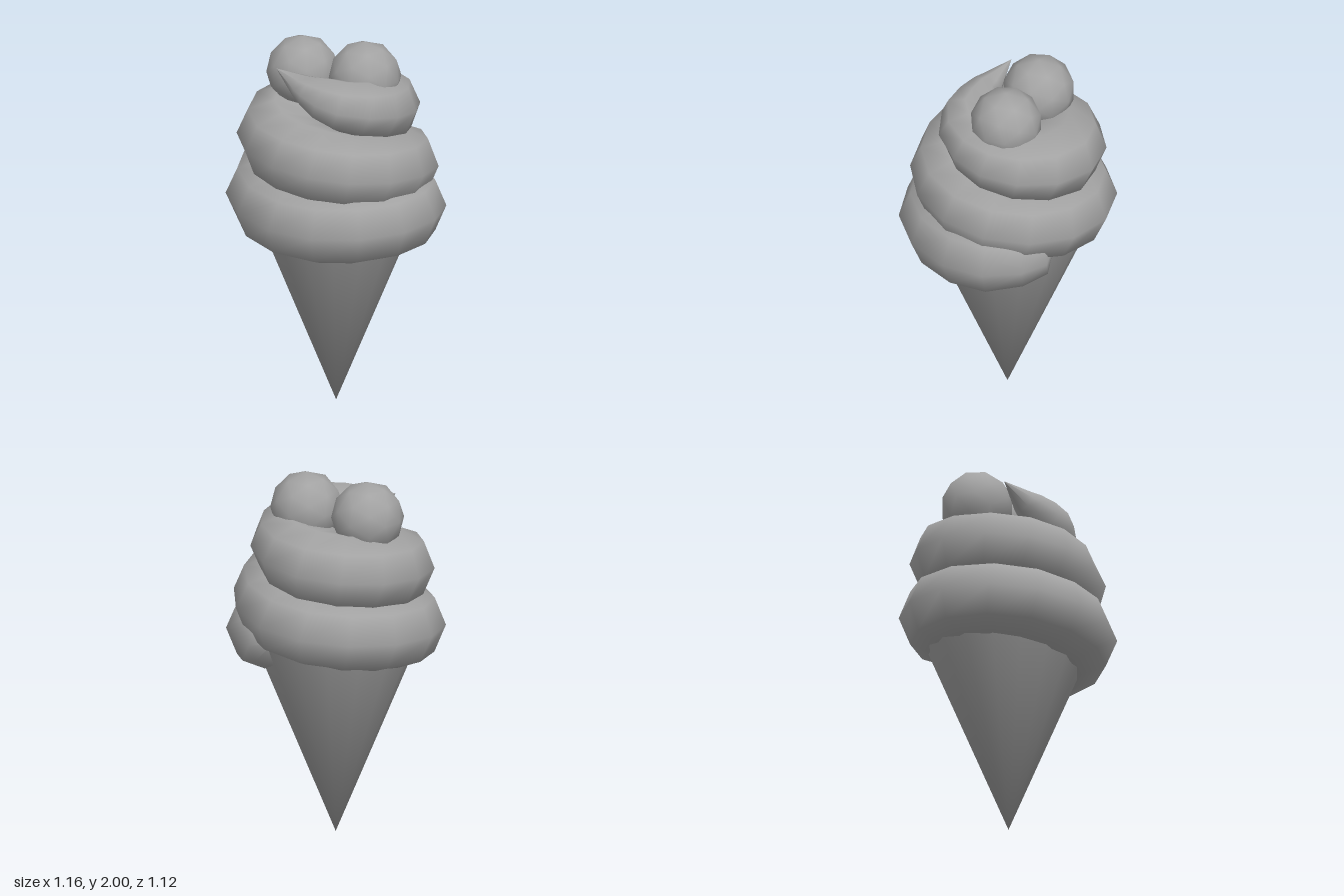
import * as THREE from 'three';
import { mergeVertices } from 'three/addons/utils/BufferGeometryUtils.js';

const material = new THREE.MeshStandardMaterial({ color: 0xa3a3a3 });

// Swirl keys: angle in degrees, distance from the axis, height, thickness
const SWIRL = [
  [-68, 0.43, 1.13, 0.01], [-62, 0.41, 1.12, 0.12], [-45, 0.39, 1.11, 0.165], [-22, 0.38, 1.105, 0.2],
  [0, 0.375, 1.105, 0.205], [90, 0.36, 1.105, 0.205], [180, 0.38, 1.18, 0.205],
  [270, 0.365, 1.25, 0.205], [360, 0.33, 1.35, 0.2], [450, 0.3, 1.43, 0.2],
  [540, 0.33, 1.5, 0.2], [630, 0.315, 1.58, 0.2], [720, 0.245, 1.66, 0.162],
  [765, 0.225, 1.715, 0.148], [810, 0.185, 1.76, 0.118], [844, 0.22, 1.805, 0.067],
  [869, 0.314, 1.87, 0.001],
];

function swirlAt(deg) {
  let i = 0;
  while (i < SWIRL.length - 2 && deg > SWIRL[i + 1][0]) i++;
  const a = SWIRL[i], b = SWIRL[i + 1];
  const t = (deg - a[0]) / (b[0] - a[0]);
  const [, dist, y, radius] = a.map((v, k) => THREE.MathUtils.lerp(v, b[k], t));
  const rad = THREE.MathUtils.degToRad(deg);
  return { point: new THREE.Vector3(Math.cos(rad) * dist, y, Math.sin(rad) * dist), radius };
}

// Tapered tube that follows the swirl; its thick part reaches in to the axis
function swirlGeometry(sides) {
  const angles = [-68, -62, -45, -22];
  for (let i = 0; i <= 32; i++) angles.push(i * 26);
  angles.push(844, 869);
  const rings = angles.map(swirlAt);
  const positions = [], indices = [];
  const up = new THREE.Vector3(0, 1, 0);
  rings.forEach(({ point, radius }, i) => {
    const before = rings[Math.max(i - 1, 0)].point;
    const after = rings[Math.min(i + 1, rings.length - 1)].point;
    const tangent = after.clone().sub(before).normalize();
    const out = up.clone().cross(tangent).normalize();
    if (out.dot(point) < 0) out.negate();
    const lift = out.clone().cross(tangent).normalize();
    if (lift.y < 0) lift.negate();
    const inward = 1 + 0.6 * THREE.MathUtils.smoothstep(radius, 0.1, 0.2);
    for (let j = 0; j < sides; j++) {
      const a = (j / sides) * Math.PI * 2;
      const c = Math.cos(a);
      const v = point.clone()
        .addScaledVector(out, c * radius * (c < -0.01 ? inward : 1))
        .addScaledVector(lift, Math.sin(a) * radius);
      positions.push(v.x, v.y, v.z);
      if (i === rings.length - 1) continue;
      const p = i * sides + j, q = i * sides + ((j + 1) % sides);
      indices.push(p, q, p + sides, q, q + sides, p + sides);
    }
  });
  const geometry = new THREE.BufferGeometry();
  geometry.setAttribute('position', new THREE.Float32BufferAttribute(positions, 3));
  geometry.setIndex(indices);
  geometry.computeVertexNormals();
  return geometry;
}

// Point-down cone whose sides share one smooth tip
function coneGeometry(radius, height, sides) {
  const open = new THREE.ConeGeometry(radius, height, sides, 1, true).rotateX(Math.PI);
  open.deleteAttribute('normal');
  open.deleteAttribute('uv');
  const geometry = mergeVertices(open);
  geometry.computeVertexNormals();
  return geometry;
}

export function createModel() {
  const group = new THREE.Group();
  group.name = 'iceCreamCone';

  const add = (name, geometry, x, y, z) => {
    const mesh = new THREE.Mesh(geometry, material);
    mesh.name = name;
    mesh.position.set(x, y, z);
    group.add(mesh);
  };

  // Wafer cone
  const coneHeight = 1.14;
  add('waferCone', coneGeometry(0.463, coneHeight, 16), 0, coneHeight / 2, 0);

  // Soft cream swirl
  add('creamSwirl', swirlGeometry(8), 0, 0, 0);

  // Two round toppings
  const ball = new THREE.IcosahedronGeometry(0.192, 1);
  add('leftTopping', ball, 0.13, 1.808, -0.08);
  add('rightTopping', ball, -0.217, 1.797, -0.05);

  return group;
}
